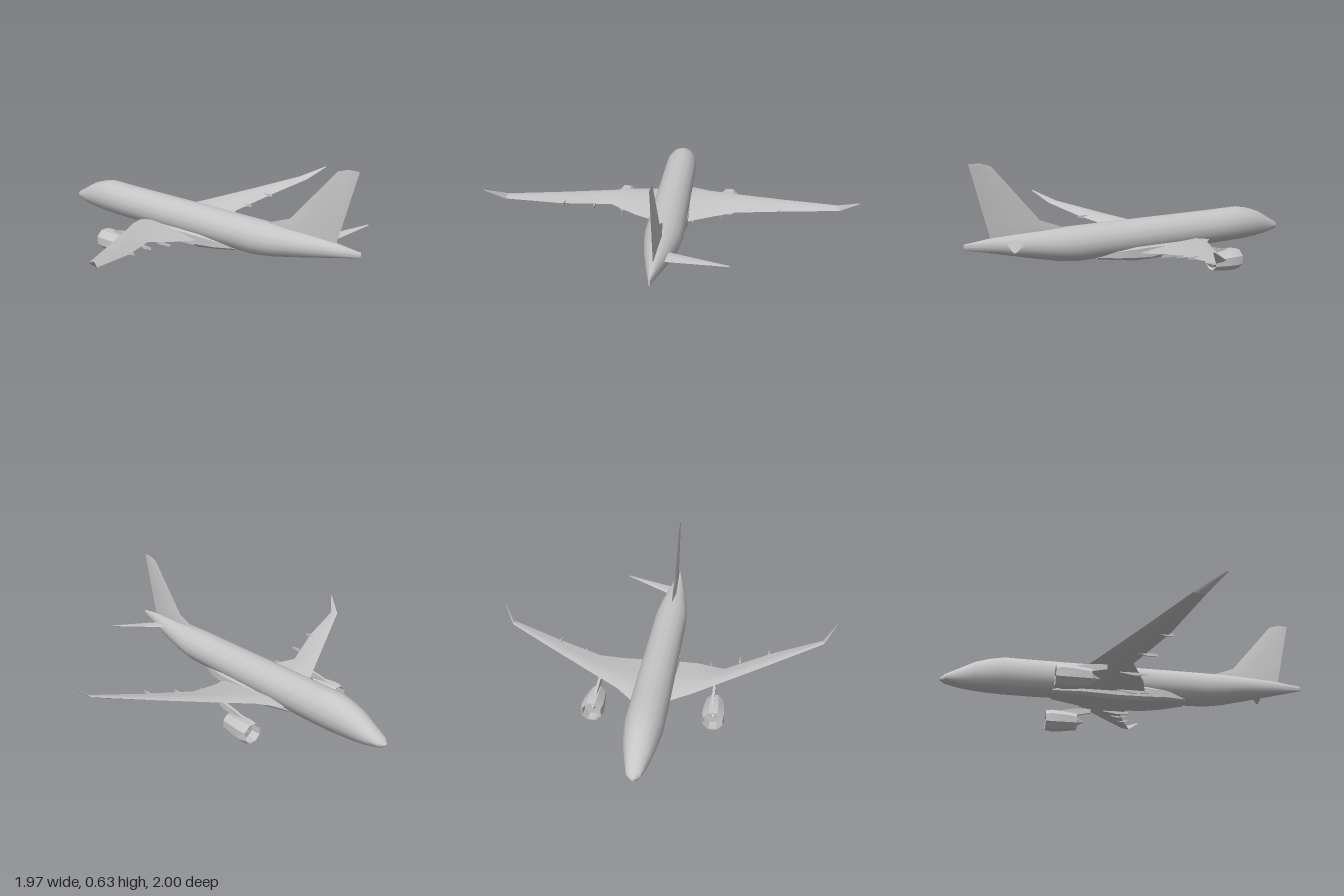
import * as THREE from 'three';
import { toCreasedNormals } from 'three/addons/utils/BufferGeometryUtils.js';

const paint = new THREE.MeshStandardMaterial({ color: 0xc6c6c6, side: THREE.DoubleSide });
paint.name = 'light grey paint';

function addMesh(parent, name, geometry) {
  const mesh = new THREE.Mesh(toCreasedNormals(geometry, 0.45), paint);
  mesh.name = name;
  parent.add(mesh);
  return mesh;
}

// Skins a closed solid over rings of equal point count, faces turned outward.
function loft(rings) {
  const n = rings[0].length, pos = rings.flat(2), tris = [];
  rings.slice(1).forEach((_, r) => {
    for (let i = 0; i < n; i++) {
      const a = r * n + i, b = r * n + (i + 1) % n;
      tris.push([a, b, b + n], [a, b + n, a + n]);
    }
  });
  const last = (rings.length - 1) * n;
  for (let i = 1; i < n - 1; i++) tris.push([0, i + 1, i], [last, last + i, last + i + 1]);
  const v = i => new THREE.Vector3().fromArray(pos, i * 3);
  const volume = tris.reduce((s, [a, b, c]) => s + v(a).dot(v(b).cross(v(c))), 0);
  const g = new THREE.BufferGeometry();
  g.setAttribute('position', new THREE.Float32BufferAttribute(pos, 3));
  g.setIndex(tris.flatMap(([a, b, c]) => (volume > 0 ? [a, b, c] : [a, c, b])));
  return g;
}

// Rounded body section: z, half width, bottom, top; power below 1 squares it off.
function bodyRing([z, w, y0, y1], sides, power = 1) {
  const shape = t => Math.sign(t) * Math.abs(t) ** power;
  return Array.from({ length: sides }, (_, i) => {
    const a = (i + 0.5) / sides * Math.PI * 2;
    return [w * shape(Math.cos(a)), (y0 + y1) / 2 + (y1 - y0) / 2 * shape(Math.sin(a)), z];
  });
}

// Wing section: x, leading z, trailing z, leading y, trailing y, thickness.
function wingRing([x, z0, z1, y0, y1, t], side) {
  const at = (f, dy) => [x * side, y0 + (y1 - y0) * f + dy * t, z0 + (z1 - z0) * f];
  return [at(0, 0), at(0.2, 0.5), at(0.55, 0.45), at(1, 0), at(0.55, -0.3), at(0.2, -0.5)];
}

function addEngine(parent, side) {
  const engine = new THREE.Group();
  engine.name = side > 0 ? 'leftEngine' : 'rightEngine';
  engine.position.set(0.319 * side, 0.058, 0);
  parent.add(engine);
  const turned = (name, profile) => {
    const g = new THREE.LatheGeometry(profile.map(p => new THREE.Vector2(...p)), 8);
    addMesh(engine, name, g.rotateX(Math.PI / 2).rotateZ(Math.PI / 8));
  };
  turned('nacelle', [[0.047, -0.25], [0.058, -0.33], [0.062, -0.39], [0.056, -0.427],
    [0.05, -0.427], [0.05, -0.38], [0.047, -0.25]]);
  turned('fan', [[0.05, -0.37], [0.016, -0.37], [0, -0.4]]);
  turned('exhaustCone', [[0.034, -0.34], [0.03, -0.25], [0.016, -0.235], [0, -0.205]]);

  // Pylon between nacelle and wing
  const pylon = [[-0.36, 0.1, 0.114], [-0.28, 0.09, 0.132], [-0.17, 0.115, 0.145]];
  const w = 0.007;
  addMesh(parent, 'pylon', loft(pylon.map(([z, y0, y1]) => [
    [0.312 * side - w, y0, z], [0.312 * side + w, y0, z],
    [0.312 * side + w, y1, z], [0.312 * side - w, y1, z]])));
}

export function createModel() {
  const model = new THREE.Group();
  model.name = 'airliner';

  // Fuselage, nose toward -z
  addMesh(model, 'fuselage', loft([
    [-1, 0.008, 0.122, 0.138], [-0.975, 0.034, 0.108, 0.157], [-0.9, 0.056, 0.09, 0.198],
    [-0.83, 0.074, 0.082, 0.237], [-0.76, 0.085, 0.077, 0.26], [-0.68, 0.096, 0.074, 0.275],
    [-0.52, 0.098, 0.073, 0.273], [0.42, 0.098, 0.085, 0.273], [0.52, 0.09, 0.1, 0.272],
    [0.7, 0.064, 0.143, 0.268], [0.85, 0.036, 0.18, 0.261], [1, 0.004, 0.217, 0.245],
  ].map(s => bodyRing(s, 16))));

  // Belly fairing
  addMesh(model, 'bellyFairing', loft([
    [-0.42, 0.06, 0.076, 0.13], [-0.26, 0.095, 0.058, 0.145], [-0.08, 0.097, 0.047, 0.15],
    [0.08, 0.097, 0.05, 0.15], [0.19, 0.085, 0.066, 0.14], [0.3, 0.05, 0.082, 0.13],
  ].map(s => bodyRing(s, 12, 0.55))));

  // Wings with raked tips; trailing-edge kinks differ a little
  for (const side of [1, -1]) {
    const name = side > 0 ? 'leftWing' : 'rightWing';
    const [rootZ, kinkZ] = side > 0 ? [-0.4, 0.01] : [-0.355, -0.045];
    addMesh(model, name, loft([
      [0.06, rootZ - 0.02, 0.075, 0.118, 0.095, 0.045], [0.1, rootZ, 0.065, 0.122, 0.1, 0.042],
      [0.2, -0.31, 0.037, 0.14, 0.115, 0.034], [0.355, -0.215, kinkZ, 0.162, 0.14, 0.022],
      [0.62, -0.055, 0.08, 0.203, 0.188, 0.014], [0.9, 0.113, 0.168, 0.25, 0.241, 0.008],
      [0.985, 0.243, 0.25, 0.32, 0.318, 0.002],
    ].map(s => wingRing(s, side))));
    addEngine(model, side);

    // Slim flap-track fairings under the trailing edge
    for (const [x, z0, z1, y] of [[0.12, -0.09, 0.08, 0.078], [0.28, -0.1, 0.045, 0.108],
      [0.44, -0.04, 0.06, 0.145], [0.6, 0.02, 0.1, 0.178]]) {
      addMesh(model, 'flapFairing', loft([[z0, 0.001, 0.012], [(z0 + z1) / 2, 0.004, 0], [z1, 0.001, 0.004]]
        .map(([z, w, lift]) => [[x * side - w, y + lift, z], [x * side + w, y + lift, z],
          [x * side + w, y + 0.016, z], [x * side - w, y + 0.016, z]])));
    }
  }

  // Single tailplane on the +x side
  addMesh(model, 'tailplane', loft([
    [0.03, 0.685, 0.8, 0.225, 0.228, 0.014], [0.06, 0.7, 0.803, 0.227, 0.23, 0.012],
    [0.335, 0.862, 0.873, 0.257, 0.257, 0.002],
  ].map(s => wingRing(s, 1))));

  // Tail fin: y, leading z, trailing z, half thickness
  addMesh(model, 'tailFin', loft([
    [0.25, 0.46, 0.868, 0.012], [0.277, 0.485, 0.872, 0.012], [0.325, 0.605, 0.885, 0.009],
    [0.615, 0.85, 0.957, 0.003], [0.632, 0.905, 0.961, 0.001],
  ].map(([y, z0, z1, w]) => [[0, y, z0], [w, y, z0 + (z1 - z0) * 0.35], [0, y, z1],
    [-w, y, z0 + (z1 - z0) * 0.35]])));

  return model;
}
